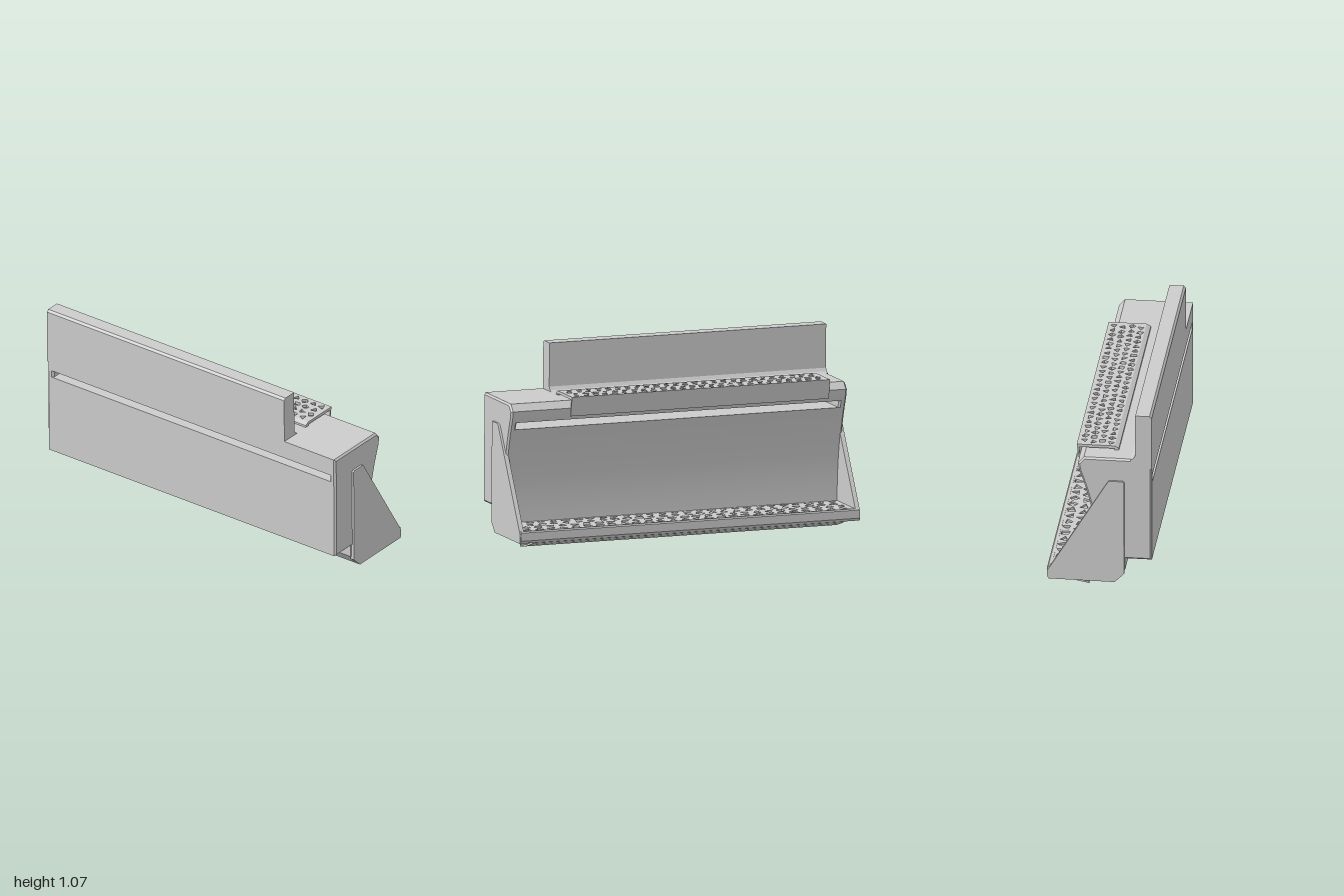
import * as THREE from 'three';
import { toCreasedNormals } from 'three/addons/utils/BufferGeometryUtils.js';

const grey = new THREE.MeshStandardMaterial({ color: 0xcccccc, side: THREE.DoubleSide });

// small repeatable number generator
let seed = 7;
const rnd = () => (seed = (seed * 16807) % 2147483647) / 2147483647;

const toShape = (pts) => new THREE.Shape(pts.map(([x, y]) => new THREE.Vector2(x, y)));

function addMesh(parent, geo, name) {
  const mesh = new THREE.Mesh(toCreasedNormals(geo, 0.35), grey);
  mesh.name = name;
  parent.add(mesh);
  return mesh;
}

// constant x-y section run from z0 to z1, optionally with chamfered ends
function run(parent, name, pts, z0, z1, bevel = 0) {
  const geo = new THREE.ExtrudeGeometry(toShape(pts), {
    depth: z1 - z0 - 2 * bevel, bevelEnabled: bevel > 0, bevelSize: bevel,
    bevelThickness: bevel, bevelOffset: -bevel, bevelSegments: 1,
  });
  geo.translate(0, 0, z0 + bevel);
  return addMesh(parent, geo, name);
}

// thin horizontal sheet pierced by scattered three- and four-sided holes
function piercedSheet(parent, name, x0, x1, z0, z1, y, thick, cols, rows) {
  const shape = toShape([[x0, -z1], [x1, -z1], [x1, -z0], [x0, -z0]]);
  const dx = (x1 - x0) / cols, dz = (z1 - z0 - 0.04) / rows;
  const size = Math.min(dx, dz) * 0.47;
  for (let i = 0; i < cols; i++) {
    for (let j = 0; j < rows; j++) {
      const cx = x0 + (i + 0.5) * dx;
      const cz = z0 + 0.02 + (j + (i % 2 ? 0.65 : 0.35)) * dz;
      const sides = rnd() < 0.7 ? 3 : 4, turn = rnd() * Math.PI * 2;
      const hole = [];
      for (let k = 0; k < sides; k++) {
        const a = turn - ((k + 0.3 * rnd()) / sides) * Math.PI * 2;
        const r = size * (0.85 + 0.15 * rnd());
        hole.push(new THREE.Vector2(cx + r * Math.cos(a), -cz + r * Math.sin(a)));
      }
      shape.holes.push(new THREE.Path(hole));
    }
  }
  const geo = new THREE.ExtrudeGeometry(shape, { depth: thick, bevelEnabled: false });
  geo.rotateX(-Math.PI / 2).translate(0, y, 0);
  return addMesh(parent, geo, name);
}

// concave front face of the body, from bottom to top
function faceCurve(y0, y1, n) {
  return Array.from({ length: n + 1 }, (_, i) => {
    const y = y0 + ((y1 - y0) * i) / n;
    return [0.008 + 0.102 * Math.pow((y - 0.13) / 0.59, 2.2), y];
  });
}

export function createModel() {
  seed = 7;
  const model = new THREE.Group();
  model.name = 'wallShelf';

  // body: lower and upper runs leave a through slot, closed by the end blocks
  const foot = [[-0.287, 0.2], [-0.14, 0.2], [-0.14, 0.13], [-0.085, 0.063], [0.008, 0.063]];
  const crown = [[0.118, 0.765], [0.085, 0.803], [-0.287, 0.803]];
  const low = faceCurve(0.13, 0.66, 14), high = faceCurve(0.7, 0.72, 1);
  run(model, 'lowerBody', [...foot, ...low, [-0.287, 0.66]], -0.97, 0.97);
  run(model, 'upperBody', [...high, ...crown, [-0.287, 0.7]], -0.97, 0.97);
  for (const s of [-1, 1]) {
    const z = s > 0 ? 0.945 : -0.985;
    run(model, s > 0 ? 'frontEndBlock' : 'rearEndBlock',
      [...foot, ...low, ...high, ...crown], z, z + 0.04, 0.01);
  }

  // tall upright panel with a fillet at its base
  run(model, 'uprightPanel', [[-0.287, 0.75], [-0.17, 0.75], [-0.17, 0.803], [-0.185, 0.81],
    [-0.197, 0.828], [-0.197, 1.07], [-0.275, 1.07], [-0.287, 1.058]], -0.985, 0.638);

  // perforated mat on the top, with a ramped back edge and a hanging front lip
  const mat = new THREE.Group();
  mat.name = 'topMat';
  model.add(mat);
  piercedSheet(mat, 'matSheet', -0.072, 0.125, -0.875, 0.638, 0.812, 0.016, 4, 26);
  run(mat, 'matBackEdge', [[-0.095, 0.803], [-0.072, 0.803], [-0.072, 0.828], [-0.095, 0.815]], -0.875, 0.638);
  run(mat, 'matFrontLip', [[0.113, 0.72], [0.121, 0.72], [0.136, 0.828], [0.124, 0.828], [0.124, 0.81]], -0.875, 0.638);

  // perforated tray with its front rim
  piercedSheet(model, 'traySheet', 0, 0.268, -0.98, 0.98, 0.118, 0.012, 4, 27);
  run(model, 'trayRim', [[0.264, 0.065], [0.276, 0.065], [0.287, 0.08], [0.287, 0.125],
    [0.28, 0.132], [0.264, 0.132]], -0.99, 0.99);

  // curved catcher hanging below the tray
  run(model, 'dripCatcher', [[0.276, 0.064], [0.22, 0.044], [0.15, 0.023], [0.064, 0.006], [0.072, 0.05],
    [0.078, 0.05], [0.074, 0.016], [0.15, 0.033], [0.22, 0.054], [0.27, 0.074]], -0.91, 0.91);

  // triangular side plates
  const plate = [[-0.137, 0.115], [-0.085, 0.063], [0.276, 0.065], [0.283, 0.075], [0.283, 0.115],
    [-0.043, 0.658], [-0.05, 0.668], [-0.06, 0.672], [-0.128, 0.672], [-0.137, 0.664]];
  run(model, 'frontSidePlate', plate, 0.972, 0.997);
  run(model, 'rearSidePlate', plate, -0.997, -0.972);

  // slight skew of the whole shelf
  model.rotation.set(-0.0065, 0.006, 0);
  return model;
}
